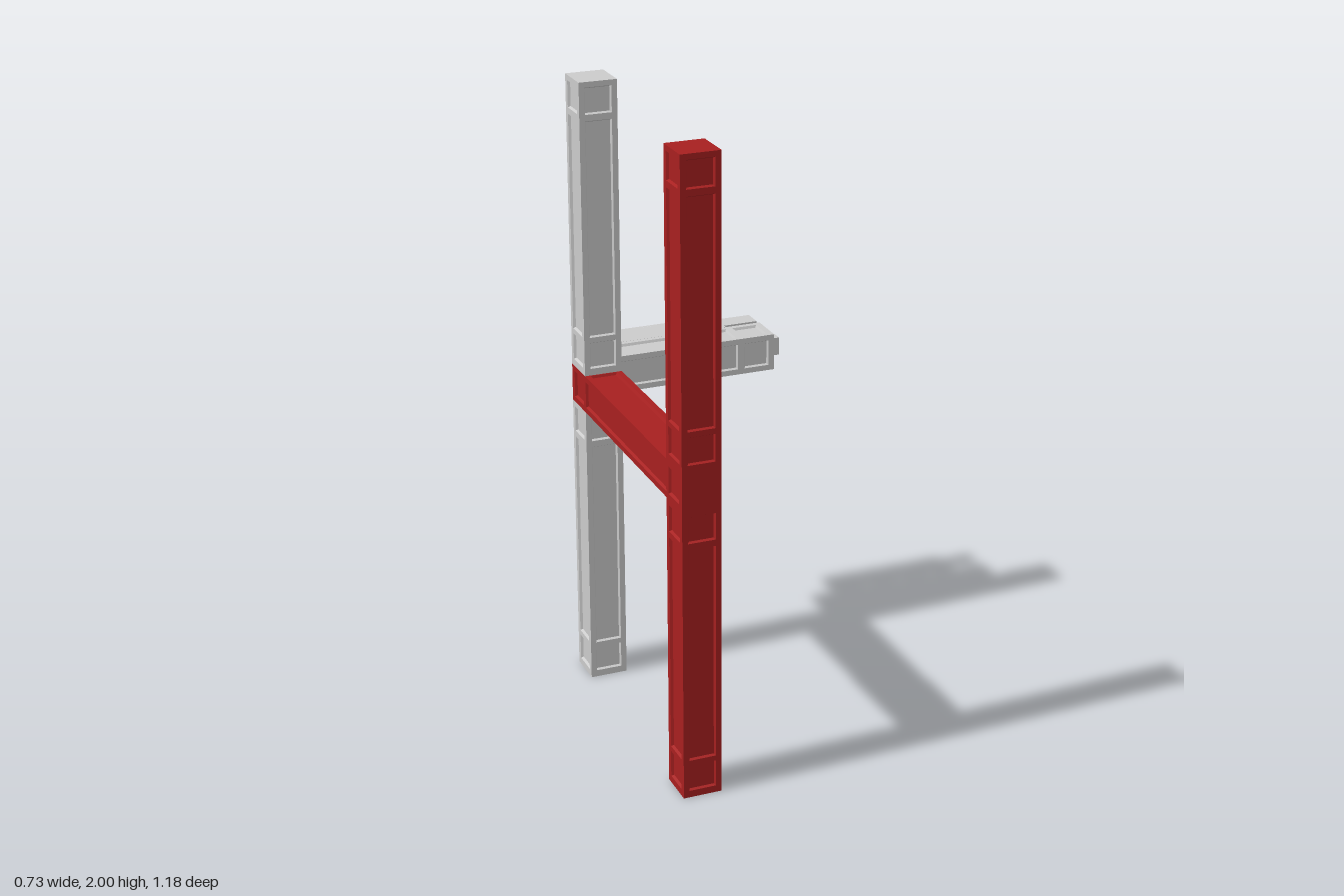
import * as THREE from 'three';
import { mergeGeometries } from 'three/addons/utils/BufferGeometryUtils.js';

const W = 0.122; // beam thickness
const MID = 1.0; // height of the horizontal beams

// Flat face in XY looking at +z, with sunken panels [x0, y0, x1, y1]
function panelFace(x0, y0, x1, y1, panels, depth = 0.008, slope = 0.004) {
  const rect = (a, b, c, d) => [[a, b], [c, b], [c, d], [a, d]];
  const toPoints = (r) => r.map(([x, y]) => new THREE.Vector2(x, y));
  const shape = new THREE.Shape(toPoints(rect(x0, y0, x1, y1)));
  const pos = [];
  const quad = (a, b, c, d) => pos.push(...a, ...b, ...c, ...a, ...c, ...d);
  for (const [a, b, c, d] of panels) {
    const rim = rect(a, b, c, d);
    shape.holes.push(new THREE.Path(toPoints(rim).reverse()));
    const top = rim.map(([x, y]) => [x, y, 0]);
    const floor = rect(a + slope, b + slope, c - slope, d - slope).map(([x, y]) => [x, y, -depth]);
    for (let i = 0; i < 4; i++) {
      const j = (i + 1) % 4;
      quad(top[i], top[j], floor[j], floor[i]);
    }
    quad(...floor);
  }
  const face = new THREE.ShapeGeometry(shape).toNonIndexed();
  pos.push(...face.attributes.position.array);
  const geo = new THREE.BufferGeometry();
  geo.setAttribute('position', new THREE.Float32BufferAttribute(pos, 3));
  return geo;
}

// Square beam along y from 0 to length; spans are [start, end] of sunken panels
function beamGeometry(length, spans, socket = []) {
  const h = W / 2, p = 0.043;
  const panels = spans.map(([a, b]) => [-p, a, p, b]);
  const faces = [];
  for (let i = 0; i < 4; i++) {
    faces.push(panelFace(-h, 0, h, length, panels).translate(0, 0, h).rotateY(i * Math.PI / 2));
  }
  faces.push(panelFace(-h, -h, h, h, []).rotateX(-Math.PI / 2).translate(0, length, 0));
  faces.push(panelFace(-h, -h, h, h, socket, 0.03, 0).rotateX(Math.PI / 2));
  const geo = mergeGeometries(faces);
  geo.computeVertexNormals();
  return geo;
}

export function createModel() {
  const model = new THREE.Group();
  const grey = new THREE.MeshStandardMaterial({ color: 0xcccccc });
  const red = new THREE.MeshStandardMaterial({ color: 0xa82020 });
  const add = (name, geo, material, x, y, z, parent = model) => {
    const mesh = new THREE.Mesh(geo, material);
    mesh.name = name;
    mesh.position.set(x, y, z);
    parent.add(mesh);
    return mesh;
  };

  // Upright posts, one below and one above the crossbar on each end
  const postX = -0.305, postLen = 0.939;
  const post = beamGeometry(postLen, [[0.022, 0.108], [0.125, 0.818], [0.838, 0.922]]);
  for (const [label, z, material] of [['front', 0.527, red], ['back', -0.295, grey]]) {
    add(label + 'LowerPost', post, material, postX, 0, z);
    add(label + 'UpperPost', post, material, postX, 2 - postLen, z);
  }

  // Crossbar joining the posts, running front to back
  const barLen = 0.944;
  const bar = beamGeometry(barLen, [[0.022, 0.108], [0.125, 0.82], [0.838, 0.922]]);
  add('crossbar', bar.rotateX(Math.PI / 2), red, postX, MID, 0.588 - barLen);

  // Side arm with a socket at one end and a peg at the other
  const armX = -0.246, armZ = -0.415;
  const arm = beamGeometry(0.576, [[0.012, 0.449], [0.472, 0.556]], [[-0.03, -0.018, 0.03, 0.018]]
    .map(([a, b, c, d]) => [b, a, d, c]));
  // turn the beam so its length runs along x and the socket stands tall
  arm.rotateY(Math.PI / 2).rotateZ(-Math.PI / 2);
  fixSocket(arm);
  add('sideArm', arm, grey, armX, MID, armZ);
  add('armPeg', new THREE.BoxGeometry(0.036, 0.06, 0.037), grey, 0.348, MID, armZ);

  // Thin plate beside the arm, with a shallow panel on top and a tab
  const plate = new THREE.Group();
  plate.name = 'sidePlate';
  model.add(plate);
  const x0 = -0.246, x1 = 0.21, z0 = -0.588, z1 = -0.477, m = 0.01;
  const cx = (x0 + x1) / 2, cz = (z0 + z1) / 2, w = x1 - x0, d = z1 - z0;
  add('plateBase', new THREE.BoxGeometry(w, 0.014, d), grey, cx, 1.050, cz, plate);
  const frame = new THREE.Shape([[x0, z0], [x1, z0], [x1, z1], [x0, z1]]
    .map(([x, z]) => new THREE.Vector2(x, -z)));
  frame.holes.push(new THREE.Path([[x0 + 0.022, z0 + m], [x1 - 0.022, z0 + m],
    [x1 - 0.022, z1 - m], [x0 + 0.022, z1 - m]].map(([x, z]) => new THREE.Vector2(x, -z))));
  const rim = new THREE.ExtrudeGeometry(frame, { depth: 0.004, bevelEnabled: false });
  add('plateRim', rim.rotateX(-Math.PI / 2), grey, 0, 1.057, 0, plate);
  add('plateTab', new THREE.BoxGeometry(0.12, 0.014, 0.065), grey, 0.27, 1.050, -0.533, plate);
  return model;
}

// Keeps the socket upright: swaps its y and z extents if it lies flat
function fixSocket(geo) {
  const p = geo.attributes.position;
  let tall = 0;
  for (let i = 0; i < p.count; i++) {
    if (Math.abs(p.getX(i) - 0.03) < 1e-5) tall = Math.max(tall, Math.abs(p.getY(i)));
  }
  if (tall < 0.025) geo.rotateX(Math.PI / 2);
}
